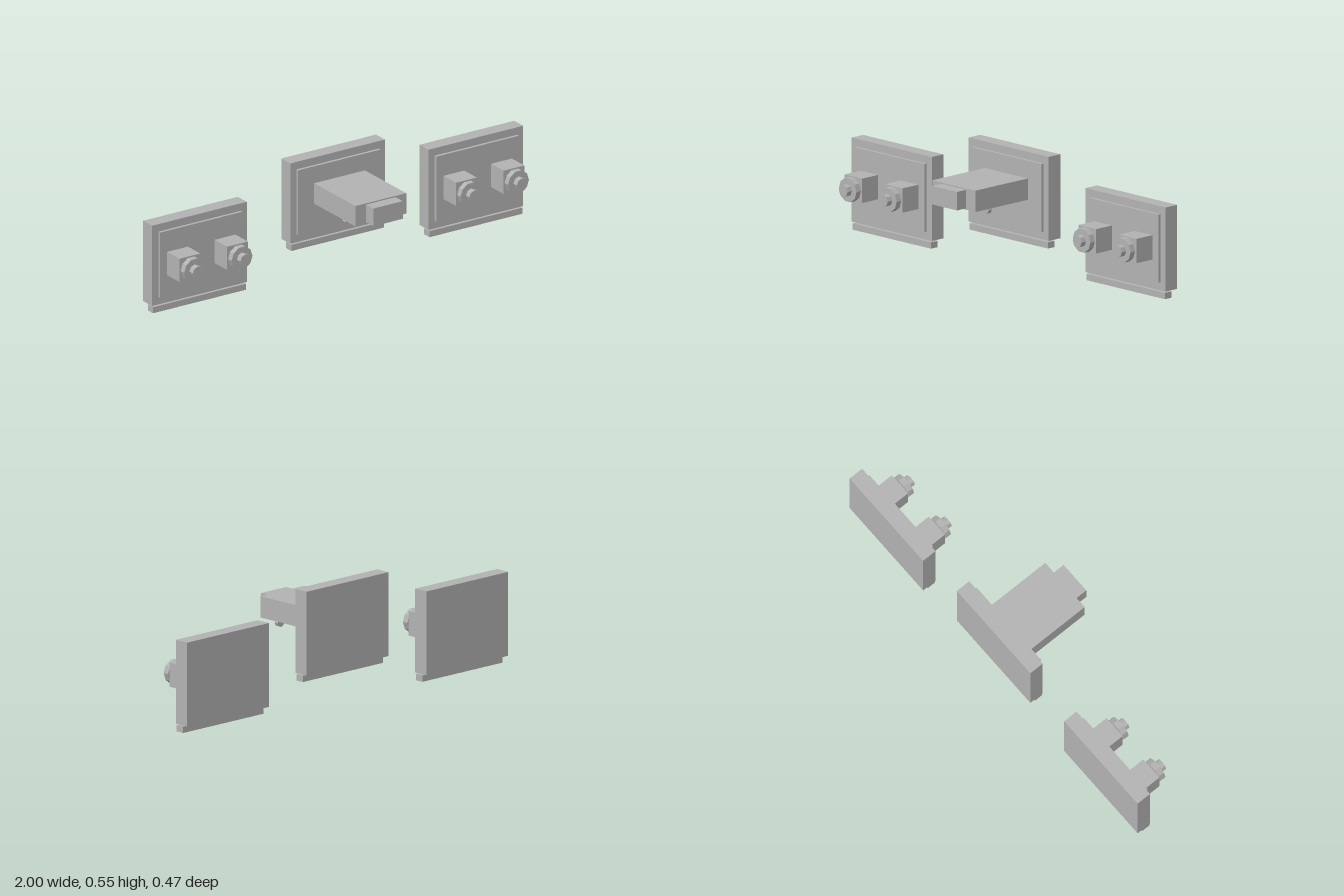
import * as THREE from 'three';

const grey = new THREE.MeshStandardMaterial({ color: 0xb2b2b2, flatShading: true });
grey.name = 'plain grey';

function add(parent, name, geometry, x, y, z) {
  const mesh = new THREE.Mesh(geometry, grey);
  mesh.name = name;
  mesh.position.set(x, y, z);
  parent.add(mesh);
}

// Box given by its centre x, width, and y and z ranges
function box(parent, name, x, width, y0, y1, z0, z1) {
  add(parent, name, new THREE.BoxGeometry(width, y1 - y0, z1 - z0), x, (y0 + y1) / 2, (z0 + z1) / 2);
}

// Low-poly disc whose axis runs along z
function disc(parent, name, radius, sides, x, y, z0, z1) {
  const geometry = new THREE.CylinderGeometry(radius, radius, z1 - z0, sides, 1, false, Math.PI / 2);
  geometry.rotateX(Math.PI / 2);
  add(parent, name, geometry, x, y, (z0 + z1) / 2);
}

// Panel with raised inset and a ledge hanging just below it
function makePanel(name, x, y) {
  const group = new THREE.Group();
  group.name = name;
  group.position.set(x, y, 0);
  box(group, 'ledge', 0, 0.5, 0, 0.029, -0.206, -0.164);
  box(group, 'backPanel', 0, 0.51, 0.036, 0.422, -0.236, -0.164);
  box(group, 'inset', 0, 0.444, 0.073, 0.386, -0.164, -0.15);
  return group;
}

// Side panel carrying two knobs
function makeKnobPanel(name, x, y) {
  const group = makePanel(name, x, y);
  for (const kx of [-0.128, 0.128]) {
    box(group, 'knobBlock', kx, 0.112, 0.173, 0.285, -0.15, -0.05);
    disc(group, 'knobCollar', 0.056, 10, kx, 0.229, -0.042, -0.014);
    disc(group, 'knobTip', 0.028, 8, kx, 0.229, -0.014, 0.014);
  }
  return group;
}

export function createModel() {
  const model = new THREE.Group();
  model.name = 'wallPanels';
  model.add(makeKnobPanel('rightPanel', -0.745, 0));
  model.add(makeKnobPanel('leftPanel', 0.745, 0.029));

  // Centre panel with its projecting arm
  const centre = makePanel('centrePanel', 0, 0.131);
  model.add(centre);
  const arm = new THREE.Group();
  arm.name = 'arm';
  model.add(arm);
  box(arm, 'armBody', 0, 0.274, 0.338, 0.436, -0.15, 0.179);
  box(arm, 'armTip', 0, 0.158, 0.345, 0.43, 0.179, 0.237);

  // Small discs under the arm, stepping forward towards its sides
  const discZ = [-0.032, 0.011, 0.083];
  for (let i = -2; i <= 2; i++) {
    const z = discZ[Math.abs(i)];
    disc(arm, 'underDisc', 0.02, 8, i * 0.057, 0.33, z - 0.0105, z + 0.0105);
  }
  return model;
}
